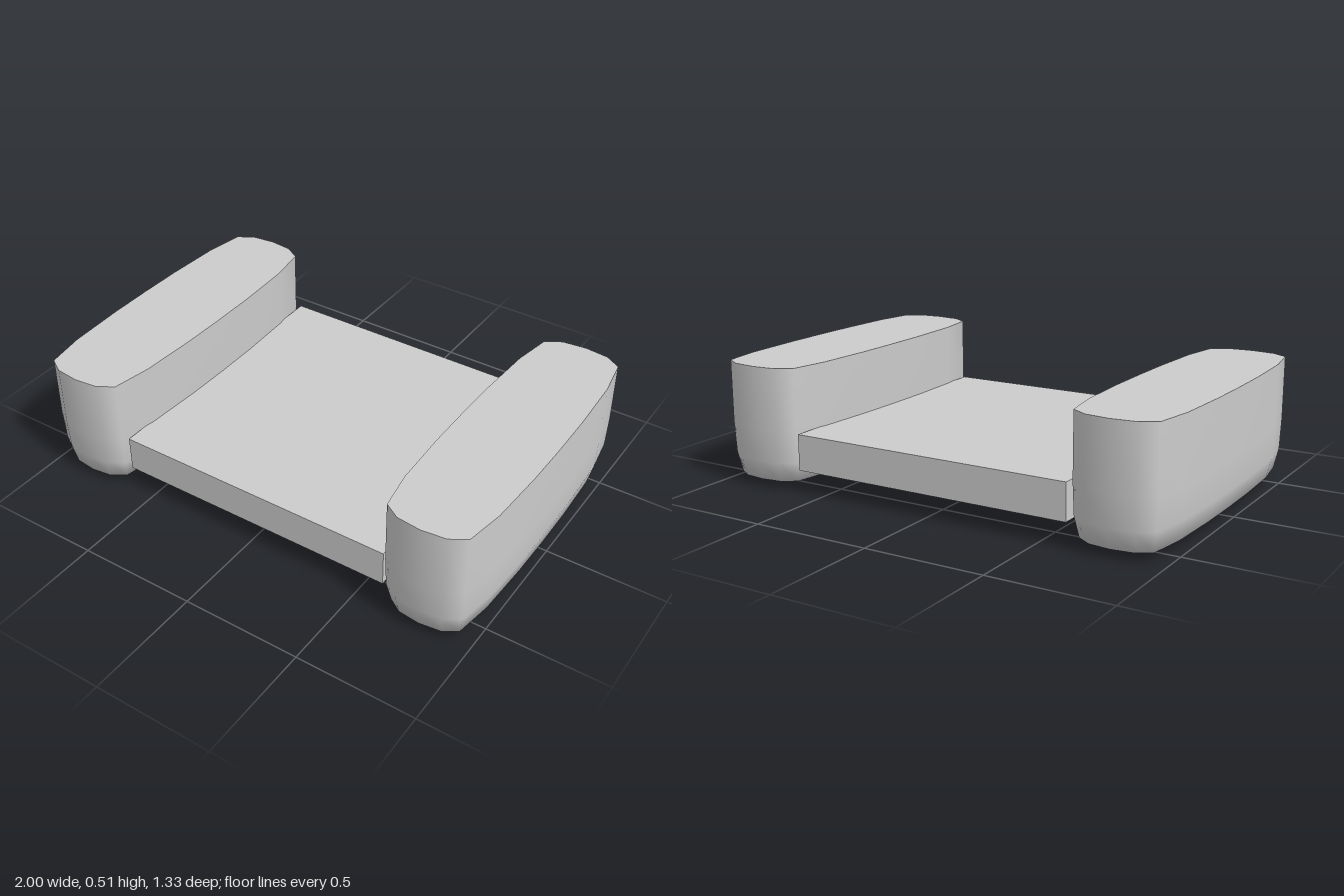
import * as THREE from 'three';

// One quarter of the pod outline (x, z), from its side to its end
const QUARTER = [[0.205, 0], [0.203, 0.2], [0.192, 0.45], [0.165, 0.615], [0.1, 0.655], [0, 0.666]];

// Rings from the rim down: height, x scale, z scale
const RINGS = [
  [0.513, 1, 1], [0.25, 1, 1], [0.12, 0.98, 0.99], [0.038, 0.89, 0.965],
  [0.014, 0.62, 0.8], [0.006, 0.35, 0.5], [0.003, 0, 0],
];

// Mirror the quarter into a closed outline running from +x towards +z
function podOutline() {
  const half = [...QUARTER, ...QUARTER.slice(0, -1).reverse().map(([x, z]) => [-x, z])];
  return [...half, ...half.slice(1, -1).reverse().map(([x, z]) => [x, -z])];
}

function podGeometry() {
  const outline = podOutline();
  const n = outline.length;
  const positions = [];
  const index = [];
  for (const [y, sx, sz] of RINGS) {
    for (const [x, z] of outline) positions.push(x * sx, y, z * sz);
  }
  for (let r = 0; r < RINGS.length - 1; r++) {
    for (let i = 0; i < n; i++) {
      const a = r * n + i, b = r * n + (i + 1) % n;
      index.push(a, b, a + n);
      if (r < RINGS.length - 2) index.push(b, b + n, a + n);
    }
  }
  // Flat lid with its own corners, so the rim stays sharp
  const lid = positions.length / 3;
  for (const [x, z] of outline) positions.push(x, RINGS[0][0], z);
  positions.push(0, RINGS[0][0], 0);
  for (let i = 0; i < n; i++) index.push(lid + n, lid + (i + 1) % n, lid + i);

  const geometry = new THREE.BufferGeometry();
  geometry.setAttribute('position', new THREE.Float32BufferAttribute(positions, 3));
  geometry.setIndex(index);
  geometry.computeVertexNormals();
  return geometry;
}

export function createModel() {
  const group = new THREE.Group();
  const gray = new THREE.MeshStandardMaterial({ color: 0xcccccc });
  gray.name = 'light gray';

  // Flat deck joining the two pods
  const deck = new THREE.Mesh(new THREE.BoxGeometry(1.22, 0.15, 1.22), gray);
  deck.name = 'deck';
  deck.position.set(0, 0.173, -0.015);
  group.add(deck);

  // Rounded pod on each side
  const geometry = podGeometry();
  for (const side of [1, -1]) {
    const pod = new THREE.Mesh(geometry, gray);
    pod.name = side > 0 ? 'leftPod' : 'rightPod';
    pod.position.x = side * 0.795;
    group.add(pod);
  }
  return group;
}
